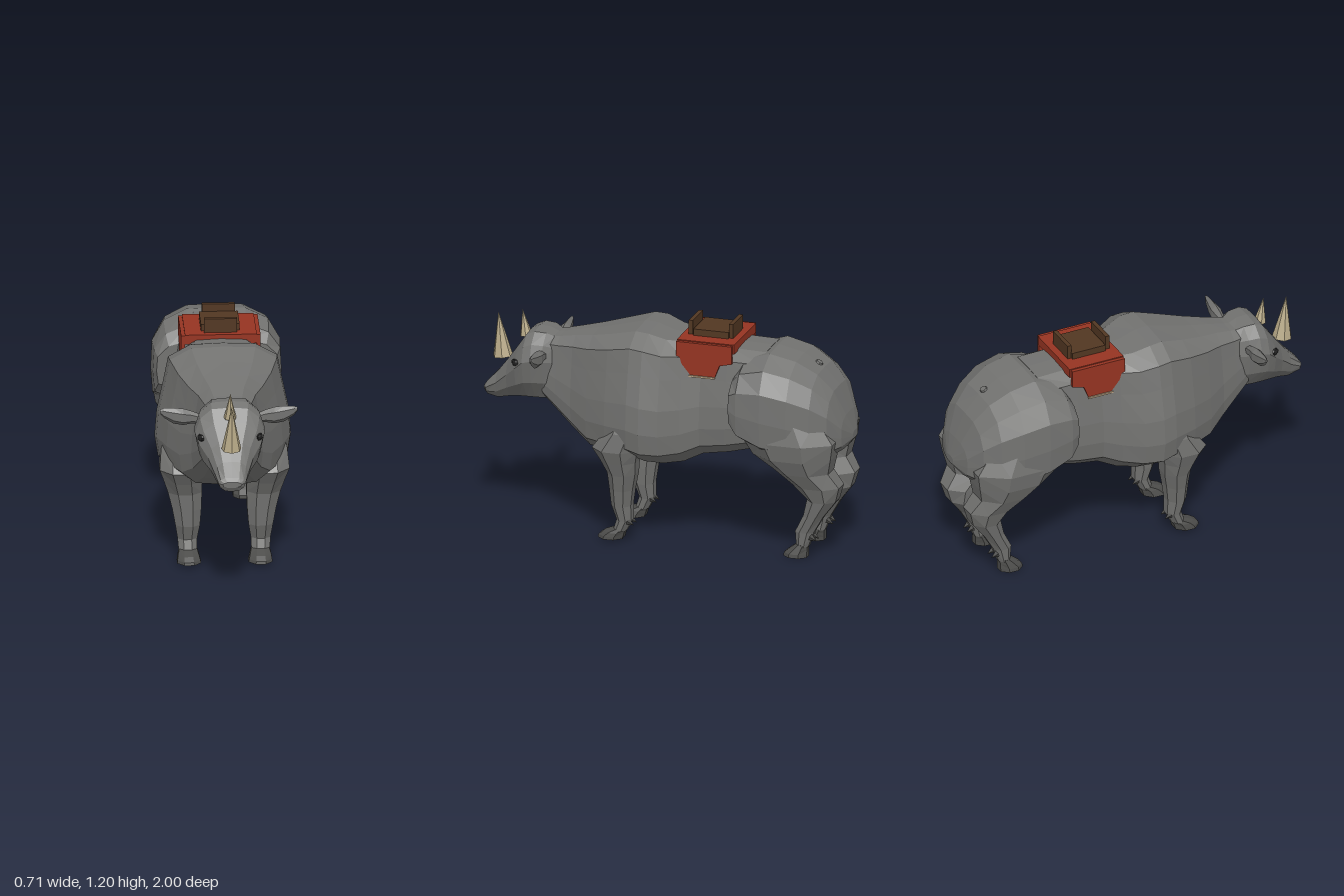
import * as THREE from 'three';

const material = (name, color) => Object.assign(new THREE.MeshStandardMaterial({ color }), { name });

// Faceted skin through a list of rings, closed at both ends and wound outwards
function loft(rings) {
  const pos = [];
  const n = rings[0].length;
  let volume = 0;
  const tri = (a, b, c) => {
    pos.push([a, b, c]);
    volume += a.dot(b.clone().cross(c));
  };
  for (let i = 0; i + 1 < rings.length; i++) {
    for (let j = 0; j < n; j++) {
      const k = (j + 1) % n;
      tri(rings[i][j], rings[i][k], rings[i + 1][k]);
      tri(rings[i][j], rings[i + 1][k], rings[i + 1][j]);
    }
  }
  const middle = (r) => r.reduce((s, p) => s.add(p), new THREE.Vector3()).divideScalar(n);
  const first = rings[0], last = rings[rings.length - 1];
  const c0 = middle(first), c1 = middle(last);
  for (let j = 0; j < n; j++) {
    const k = (j + 1) % n;
    tri(c0, first[k], first[j]);
    tri(c1, last[j], last[k]);
  }
  const points = pos.flatMap(([a, b, c]) => (volume < 0 ? [a, c, b] : [a, b, c]));
  const geo = new THREE.BufferGeometry().setFromPoints(points);
  geo.computeVertexNormals();
  return geo;
}

function faceted(geo) {
  const flat = geo.toNonIndexed();
  flat.computeVertexNormals();
  return flat;
}

// Half outlines as [share of half width, share of height], top to bottom
const TRUNK = [[0, 1], [0.48, 0.99], [0.8, 0.9], [0.87, 0.72], [0.97, 0.48], [1, 0.28], [0.95, 0.12], [0.65, 0.02], [0, 0]];
const RUMP = [[0, 1], [0.45, 0.99], [0.8, 0.88], [0.98, 0.68], [1, 0.4], [0.97, 0.15], [0.6, 0.02], [0, 0]];
const HEAD = [[0, 1], [0.52, 0.98], [0.85, 0.84], [1, 0.62], [0.87, 0.3], [0.5, 0.04], [0, 0]];

// Symmetric upright ring at z
function section(half, [z, top, bottom, w]) {
  const at = (side) => ([u, v]) => new THREE.Vector3(side * u * w, bottom + v * (top - bottom), z);
  return [...half.map(at(1)), ...half.slice(1, -1).reverse().map(at(-1))];
}
const along = (half, rows) => loft(rows.map((r) => section(half, r)));

// Eight-sided level ring for legs: [y, inner x, outer x, back z, front z]
function legRing(side, [y, x0, x1, z0, z1]) {
  return Array.from({ length: 8 }, (_, i) => {
    const a = (i + 0.5) * Math.PI / 4;
    return new THREE.Vector3(side * ((x0 + x1) / 2 + (x1 - x0) / 2 * Math.cos(a) * 1.08),
      y, (z0 + z1) / 2 + (z1 - z0) / 2 * Math.sin(a) * 1.08);
  });
}

export function createModel() {
  const model = new THREE.Group();
  const hide = material('grey hide', 0x727270);
  const hoofMat = material('dark hoof', 0x4c4c4a);
  const horn = material('horn', 0xb8aa88);
  const dark = material('eye', 0x222222);
  const red = material('red cloth', 0x963422);
  const brown = material('brown leather', 0x523722);
  const tan = material('tan trim', 0xb8a284);

  const add = (name, geo, mat, x = 0, y = 0, z = 0) => {
    const mesh = new THREE.Mesh(geo, mat);
    mesh.name = name;
    mesh.position.set(x, y, z);
    model.add(mesh);
    return mesh;
  };
  const box = (name, mat, w, h, d, x, y, z) => add(name, new THREE.BoxGeometry(w, h, d), mat, x, y, z);

  // Trunk and neck, front to back: [z, top, bottom, half width]
  add('trunk', along(TRUNK, [
    [0.66, 1.03, 0.7, 0.13], [0.58, 1.04, 0.63, 0.155], [0.49, 1.06, 0.55, 0.185], [0.39, 1.08, 0.48, 0.24],
    [0.27, 1.11, 0.475, 0.3], [0.14, 1.145, 0.465, 0.345], [0.07, 1.14, 0.445, 0.352], [-0.02, 1.11, 0.435, 0.31],
    [-0.12, 1.1, 0.445, 0.25], [-0.22, 1.095, 0.495, 0.228], [-0.36, 1.09, 0.52, 0.235], [-0.55, 1.085, 0.57, 0.24],
  ]), hide);

  // Broad hindquarters
  add('rump', along(RUMP, [
    [-0.405, 0.98, 0.7, 0.315], [-0.45, 1.05, 0.62, 0.332], [-0.58, 1.092, 0.55, 0.337], [-0.72, 1.06, 0.53, 0.32],
    [-0.83, 0.995, 0.53, 0.275], [-0.91, 0.905, 0.55, 0.225], [-0.965, 0.77, 0.59, 0.145], [-0.995, 0.67, 0.63, 0.04],
  ]), hide);
  add('tailStub', faceted(new THREE.CylinderGeometry(0.018, 0.024, 0.016, 7)), hide, 0, 1.013, -0.8).rotation.x = -0.53;

  // Head
  add('head', along(HEAD, [
    [0.605, 1.035, 0.69, 0.135], [0.65, 1.056, 0.68, 0.17], [0.71, 1.06, 0.68, 0.182], [0.755, 1.04, 0.68, 0.18],
    [0.8, 0.975, 0.678, 0.162], [0.86, 0.89, 0.667, 0.118], [0.925, 0.805, 0.652, 0.088], [0.985, 0.74, 0.665, 0.07],
    [1, 0.72, 0.69, 0.05],
  ]), hide);

  // Horns
  for (const [name, r, h, y, z, lean] of [['noseHorn', 0.052, 0.24, 0.99, 0.925, 0.1], ['browHorn', 0.033, 0.14, 1.065, 0.796, 0.14]]) {
    add(name, faceted(new THREE.ConeGeometry(r, h, 7)), horn, 0, y, z).rotation.x = lean;
  }

  const legs = {
    frontLeg: [
      [0.74, 0.15, 0.28, 0.1, 0.22], [0.62, 0.13, 0.325, 0.08, 0.27], [0.52, 0.115, 0.335, 0.1, 0.345],
      [0.45, 0.115, 0.312, 0.115, 0.305], [0.38, 0.115, 0.29, 0.122, 0.272], [0.29, 0.118, 0.268, 0.14, 0.265],
      [0.2, 0.125, 0.252, 0.152, 0.258], [0.12, 0.138, 0.24, 0.15, 0.23], [0.06, 0.14, 0.235, 0.18, 0.25],
    ],
    hindLeg: [
      [0.78, 0.06, 0.3, -0.86, -0.46], [0.65, 0.01, 0.325, -0.945, -0.455], [0.56, 0.01, 0.31, -0.93, -0.51],
      [0.48, 0.025, 0.278, -0.912, -0.62], [0.4, 0.03, 0.24, -0.963, -0.71], [0.32, 0.04, 0.215, -0.94, -0.785],
      [0.23, 0.08, 0.2, -0.872, -0.765], [0.14, 0.098, 0.185, -0.82, -0.72], [0.06, 0.1, 0.18, -0.79, -0.725],
    ],
  };
  const hooves = {
    frontHoof: [[0.07, 0.14, 0.232, 0.18, 0.25], [0.05, 0.132, 0.24, 0.19, 0.3], [0.03, 0.126, 0.244, 0.195, 0.328],
      [0.015, 0.122, 0.246, 0.2, 0.332]],
    hindHoof: [[0.07, 0.1, 0.182, -0.785, -0.725], [0.045, 0.098, 0.19, -0.785, -0.69], [0.022, 0.096, 0.197, -0.785, -0.662],
      [0.003, 0.095, 0.2, -0.785, -0.66]],
  };

  // Saddle flap outline as (z, y)
  const flap = new THREE.Shape([[-0.09, 1.12], [-0.09, 1.01], [-0.16, 0.945], [-0.3, 0.945], [-0.325, 1.01], [-0.39, 1.025], [-0.39, 1.12]]
    .map(([z, y]) => new THREE.Vector2(z, y)));
  const flapGeo = new THREE.ExtrudeGeometry(flap, { depth: 0.02, bevelEnabled: false }).rotateY(-Math.PI / 2).translate(0.01, 0, 0);

  for (const side of [1, -1]) {
    const label = (s) => (side > 0 ? 'left ' : 'right ') + s;
    for (const [name, rows] of Object.entries(legs)) add(label(name), loft(rows.map((r) => legRing(side, r))), hide);
    for (const [name, rows] of Object.entries(hooves)) add(label(name), loft(rows.map((r) => legRing(side, r))), hoofMat);

    // Dewclaws behind the ankles
    for (const [x, z] of [[0.165, 0.152], [0.215, 0.152], [0.12, -0.82], [0.165, -0.82]]) {
      add(label('dewclaw'), faceted(new THREE.ConeGeometry(0.02, 0.04, 5)), hoofMat, side * x, 0.108, z).rotation.x = -2.1;
    }

    // Ear, root to tip: [x, y, half height, half depth]
    add(label('ear'), loft([[0.13, 0.94, 0.022, 0.02], [0.19, 0.952, 0.034, 0.022], [0.235, 0.955, 0.045, 0.03],
      [0.285, 0.962, 0.043, 0.022], [0.335, 0.978, 0.026, 0.012], [0.355, 0.987, 0.01, 0.004]]
      .map(([x, y, hy, hz]) => Array.from({ length: 6 }, (_, i) => {
        const a = (i + 0.5) * Math.PI / 3;
        return new THREE.Vector3(side * x, y + hy * Math.sin(a), 0.65 + hz * Math.cos(a));
      }))), hide);

    // Eye, set flat against the slanting face
    const eye = add(label('eye'), faceted(new THREE.SphereGeometry(1, 7, 5)), dark, side * 0.152, 0.893, 0.798);
    eye.scale.set(0.012, 0.019, 0.027);
    eye.rotation.y = side * -0.55;

    // Saddle flap and its trim
    add(label('saddleFlap'), flapGeo, red, side * 0.195);
    box(label('flapTrim'), tan, 0.03, 0.009, 0.14, side * 0.198, 0.941, -0.23);
    box(label('seatEnd'), brown, 0.17, 0.08, 0.022, 0, 1.16, -0.24 + side * 0.109);
  }

  // Saddle cloth and seat
  box('saddleCloth', red, 0.37, 0.05, 0.31, 0, 1.1, -0.243);
  box('seat', brown, 0.2, 0.04, 0.19, 0, 1.14, -0.245);
  return model;
}
